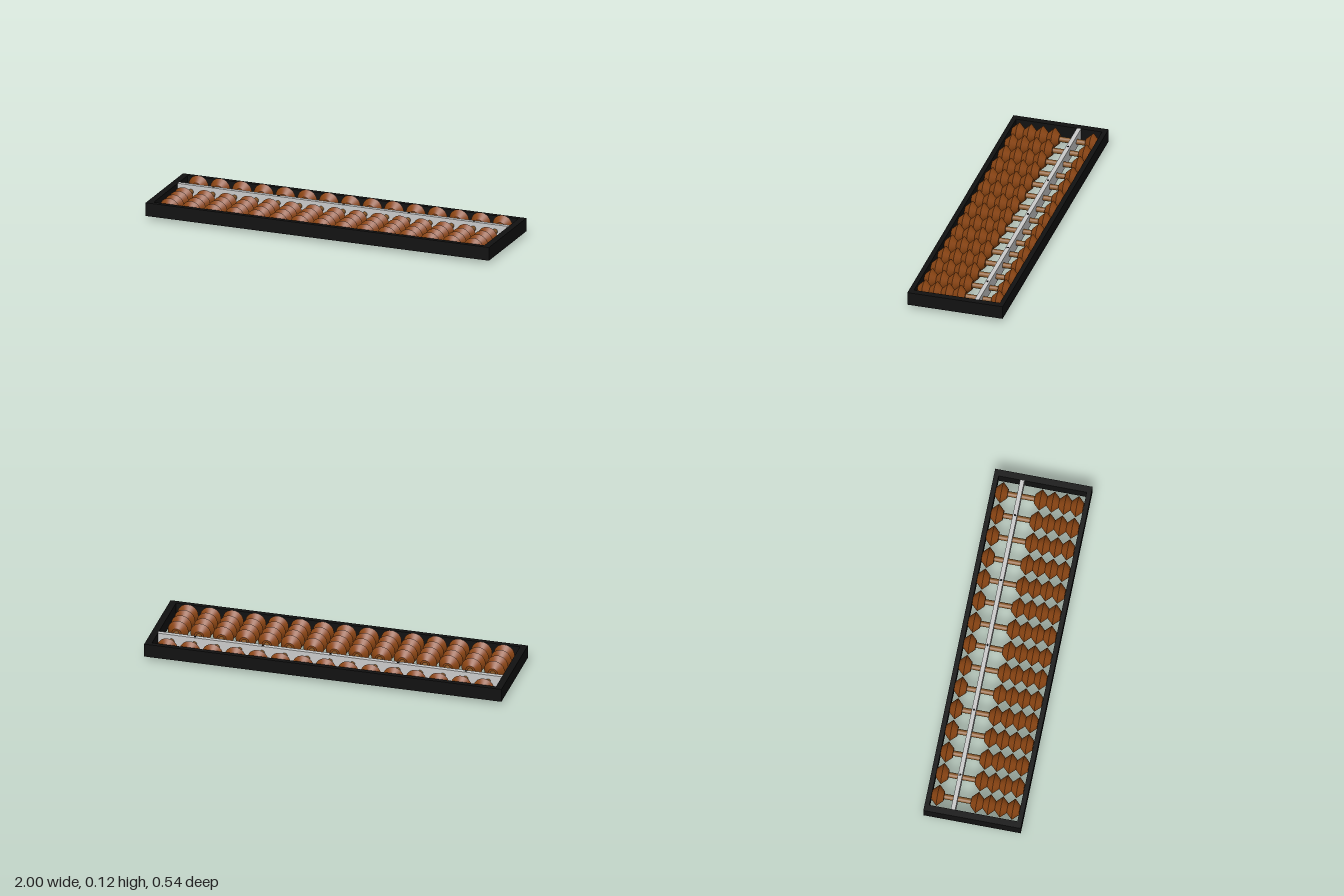
import * as THREE from 'three';
import { mergeGeometries } from 'three/addons/utils/BufferGeometryUtils.js';

const MID_Y = 0.0585, HEIGHT = 0.075, HALF_DEPTH = 0.268;
const SIDE = 0.037, RAIL = 0.026;           // frame wall thicknesses
const BEAM_Z = -0.112;
const COLUMNS = 15, SPACING = 0.1265;
const BEAD_R = 0.058, BEAD_END_R = 0.026, BEAD_HALF = 0.0335;
const BEAD_Z = [-0.209, 0.006, 0.073, 0.14, 0.206];

// Two cones base to base, lying along z, with a sharp rim
function beadGeometry() {
  const back = new THREE.CylinderGeometry(BEAD_END_R, BEAD_R, BEAD_HALF, 32, 1, true);
  back.translate(0, BEAD_HALF / 2, 0);
  const front = back.clone().rotateX(Math.PI);
  const caps = [1, -1].map((s) => new THREE.CircleGeometry(BEAD_END_R, 32)
    .rotateX(-s * Math.PI / 2).translate(0, s * BEAD_HALF, 0));
  return mergeGeometries([back, front, ...caps]).rotateX(Math.PI / 2);
}

export function createModel() {
  const model = new THREE.Group();
  model.name = 'abacus';
  const black = new THREE.MeshStandardMaterial({ color: 0x111111 });
  const brown = new THREE.MeshStandardMaterial({ color: 0x8b4513 });
  const rodBrown = new THREE.MeshStandardMaterial({ color: 0x8b5a2b });
  const grey = new THREE.MeshStandardMaterial({ color: 0xcccccc });

  const add = (name, geometry, material, x, y, z, parent = model) => {
    const mesh = new THREE.Mesh(geometry, material);
    mesh.name = name;
    mesh.position.set(x, y, z);
    parent.add(mesh);
  };

  // Frame: two ends and two long rails
  const innerWidth = 2 - 2 * SIDE;
  const endBox = new THREE.BoxGeometry(SIDE, HEIGHT, 2 * HALF_DEPTH);
  const railBox = new THREE.BoxGeometry(innerWidth, HEIGHT, RAIL);
  add('leftEnd', endBox, black, 1 - SIDE / 2, MID_Y, 0);
  add('rightEnd', endBox, black, -1 + SIDE / 2, MID_Y, 0);
  add('frontRail', railBox, black, 0, MID_Y, HALF_DEPTH - RAIL / 2);
  add('backRail', railBox, black, 0, MID_Y, -HALF_DEPTH + RAIL / 2);

  // Dividing beam
  add('beam', new THREE.BoxGeometry(innerWidth, HEIGHT, 0.024), grey, 0, MID_Y, BEAM_Z);

  // Columns: rod, one upper bead, four lower beads
  const rod = new THREE.CylinderGeometry(0.015, 0.015, 2 * (HALF_DEPTH - RAIL), 16).rotateX(Math.PI / 2);
  const bead = beadGeometry();
  const dot = new THREE.CylinderGeometry(0.006, 0.006, 0.002, 12);
  for (let i = 0; i < COLUMNS; i++) {
    const column = new THREE.Group();
    column.name = 'column';
    column.position.set((i - (COLUMNS - 1) / 2) * SPACING, MID_Y, 0);
    add('rod', rod, rodBrown, 0, 0, 0, column);
    BEAD_Z.forEach((z, k) => add(k === 0 ? 'upperBead' : 'lowerBead', bead, brown, 0, 0, z, column));
    // Marker dot on the beam at every third column
    if (i % 3 === 1) add('markerDot', dot, black, 0, HEIGHT / 2 + 0.001, BEAM_Z, column);
    model.add(column);
  }
  return model;
}
